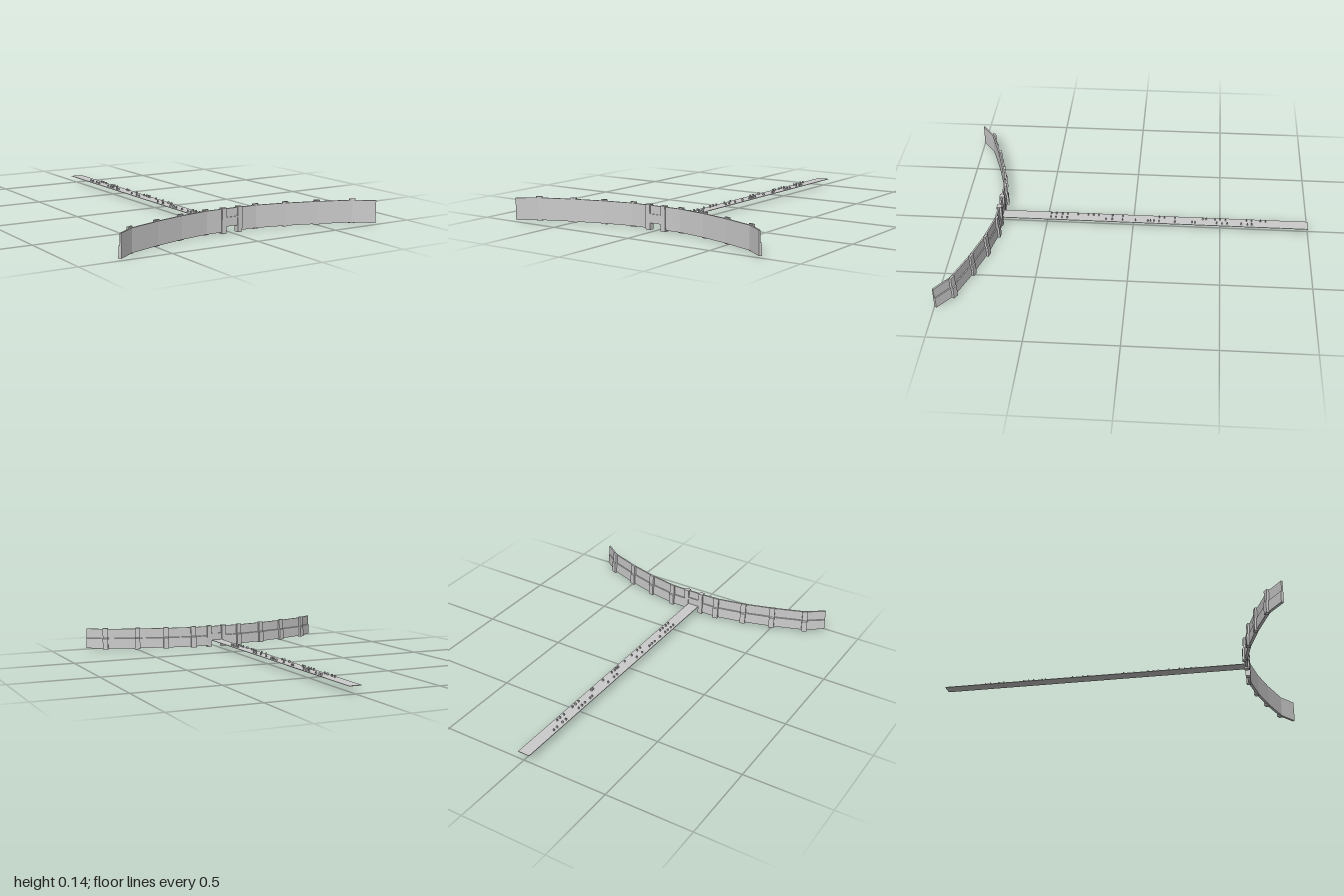
import * as THREE from 'three';

const material = new THREE.MeshStandardMaterial({ color: 0xcccccc, flatShading: true, side: THREE.DoubleSide });

function box(name, x0, x1, y0, y1, z0, z1) {
  const mesh = new THREE.Mesh(new THREE.BoxGeometry(x1 - x0, y1 - y0, z1 - z0), material);
  mesh.position.set((x0 + x1) / 2, (y0 + y1) / 2, (z0 + z1) / 2);
  mesh.name = name;
  return mesh;
}

// Plan of the left half of the wall: [x, z]
const plan = [[0.035, 0.764], [0.155, 0.766], [0.325, 0.8], [0.495, 0.85], [0.68, 0.918], [0.78, 0.993]];
// Wall section: [offset towards the front, height], with a walkway step on the back
const section = [[0.006, 0.008], [0.006, 0.13], [-0.003, 0.13], [-0.003, 0.072], [-0.008, 0.07], [-0.01, 0.008]];

// Unit normal of the plan at point i, pointing to the front
function frontNormal(i) {
  const a = plan[Math.max(i - 1, 0)], b = plan[Math.min(i + 1, plan.length - 1)];
  const dx = b[0] - a[0], dz = b[1] - a[1], l = Math.hypot(dx, dz);
  return [-dz / l, dx / l];
}

// Sweeps the section along the plan; side = 1 or -1 mirrors in x
function wallGeometry(side) {
  const pos = [], index = [], n = section.length;
  plan.forEach(([x, z], i) => {
    const [nx, nz] = frontNormal(i);
    section.forEach(([d, y]) => pos.push(side * (x + nx * d), y, z + nz * d));
  });
  const tri = (a, b, c) => (side > 0 ? index.push(a, b, c) : index.push(a, c, b));
  for (let i = 0; i < plan.length - 1; i++) {
    for (let j = 0; j < n; j++) {
      const a = i * n + j, b = i * n + (j + 1) % n;
      tri(a, a + n, b);
      tri(b, a + n, b + n);
    }
  }
  // End caps
  const caps = THREE.ShapeUtils.triangulateShape(section.map(([d, y]) => new THREE.Vector2(d, y)), []);
  const last = (plan.length - 1) * n;
  for (const [a, b, c] of caps) {
    tri(a, c, b);
    tri(last + a, last + b, last + c);
  }
  const geo = new THREE.BufferGeometry();
  geo.setAttribute('position', new THREE.Float32BufferAttribute(pos, 3));
  geo.setIndex(index);
  const flat = geo.toNonIndexed();
  flat.computeVertexNormals();
  return flat;
}

// Buttress: tapered profile extruded along the wall
function buttressGeometry(width) {
  const shape = new THREE.Shape([[0, 0.003], [0, 0.136], [-0.013, 0.136], [-0.014, 0.075], [-0.019, 0.07], [-0.02, 0.003]]
    .map(([d, y]) => new THREE.Vector2(d, y)));
  const geo = new THREE.ExtrudeGeometry(shape, { depth: width, bevelEnabled: false });
  geo.translate(0, 0, -width / 2);
  return geo.rotateY(-Math.PI / 2); // profile now faces z, extrusion runs along x
}

export function createModel() {
  const model = new THREE.Group();
  model.name = 'wallAndRoad';

  // Curved wall, buttresses and gate posts on both sides
  const ribGeo = buttressGeometry(0.032);
  for (const side of [1, -1]) {
    const label = side > 0 ? 'left' : 'right';
    const wall = new THREE.Mesh(wallGeometry(side), material);
    wall.name = label + 'Wall';
    model.add(wall);

    for (let i = 1; i < plan.length - 1; i++) {
      const [nx, nz] = frontNormal(i);
      const rib = new THREE.Mesh(ribGeo, material);
      rib.position.set(side * plan[i][0], 0, plan[i][1]);
      rib.rotation.y = Math.atan2(side * nx, nz);
      rib.name = label + 'Buttress' + i;
      model.add(rib);
    }
    const [x0, x1] = side > 0 ? [0.035, 0.063] : [-0.063, -0.035];
    model.add(box(label + 'GatePost', x0, x1, 0, 0.135, 0.749, 0.777));
  }

  // Gate: lintel over the opening with a recessed parapet above
  model.add(box('gateLintel', -0.036, 0.036, 0.037, 0.085, 0.754, 0.775));
  model.add(box('gateParapet', -0.036, 0.036, 0.085, 0.13, 0.76, 0.77));

  // Long flat road leading back from the gate
  model.add(box('road', -0.035, 0.035, 0.04, 0.043, -1, 0.76));

  // Tiny blocks along the two lanes of the road
  const lanes = [
    [-0.018, [-0.76, -0.73, -0.68, -0.65, -0.53, -0.5, -0.47, -0.42, -0.4, -0.24, -0.18, -0.15, 0.06, 0.12, 0.2, 0.23, 0.26, 0.32, 0.38, 0.41, 0.445, 0.475]],
    [0.017, [-0.68, -0.655, -0.62, -0.54, -0.51, -0.48, -0.355, -0.34, -0.24, -0.15, -0.12, -0.1, -0.085, -0.015, 0.06, 0.12, 0.155, 0.38, 0.41, 0.445, 0.475]],
  ];
  const traffic = new THREE.Group();
  traffic.name = 'roadBlocks';
  for (const [x, zs] of lanes) {
    for (const z of zs) traffic.add(box('roadBlock', x - 0.004, x + 0.004, 0.043, 0.055, z - 0.003, z + 0.003));
  }
  model.add(traffic);
  return model;
}
